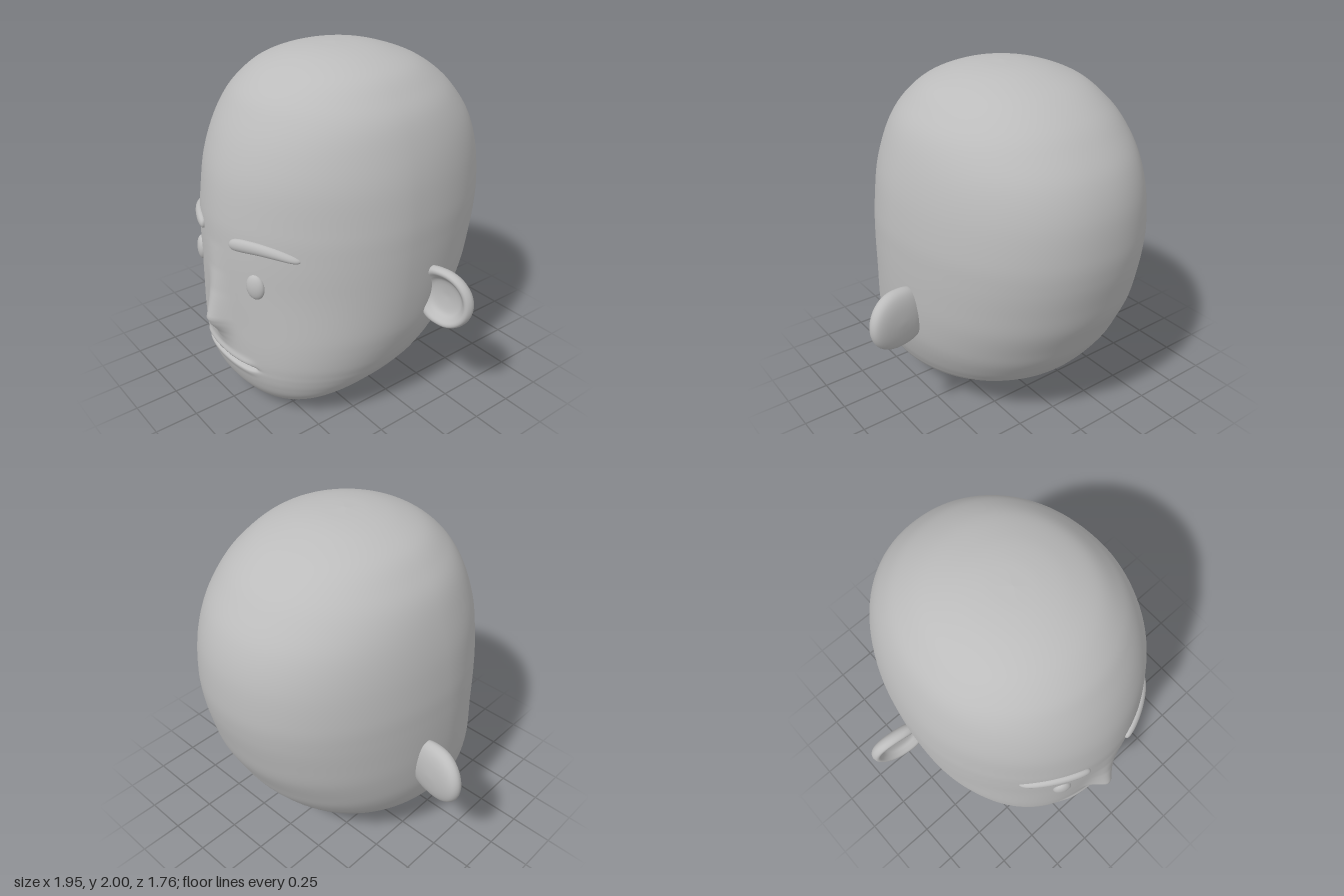
import * as THREE from 'three';
import { mergeVertices } from 'three/addons/utils/BufferGeometryUtils.js';

// Horizontal head sections: height, front z, back z, half width, z of widest point
const ROWS = [
  [0, 0.45, 0.45, 0, 0.45], [0.006, 0.54, 0.37, 0.09, 0.45], [0.02, 0.58, 0.3, 0.17, 0.44],
  [0.05, 0.63, 0.19, 0.29, 0.41], [0.1, 0.68, 0.02, 0.41, 0.36], [0.17, 0.73, -0.19, 0.505, 0.3],
  [0.24, 0.76, -0.42, 0.57, 0.22], [0.3, 0.775, -0.52, 0.61, 0.17], [0.34, 0.78, -0.56, 0.63, 0.15],
  [0.4, 0.785, -0.61, 0.655, 0.13], [0.5, 0.79, -0.68, 0.685, 0.1], [0.6, 0.793, -0.73, 0.705, 0.08],
  [0.75, 0.8, -0.8, 0.718, 0.06], [0.9, 0.803, -0.84, 0.724, 0.05], [1.05, 0.8, -0.87, 0.725, 0.04],
  [1.2, 0.79, -0.88, 0.72, 0.03], [1.4, 0.755, -0.86, 0.695, 0.02], [1.57, 0.695, -0.8, 0.652, 0],
  [1.71, 0.62, -0.7, 0.595, 0], [1.81, 0.545, -0.6, 0.52, 0], [1.9, 0.43, -0.46, 0.42, 0],
  [1.96, 0.29, -0.3, 0.28, 0], [1.99, 0.15, -0.16, 0.14, 0], [2, 0, 0, 0, 0],
];
const spline = (f) => new THREE.CatmullRomCurve3(ROWS.map(f), false, 'catmullrom', 0.5);
const depthCurve = spline(([y, zf, zb]) => new THREE.Vector3(zf, y, zb));
const widthCurve = spline(([y, , , hw, zc]) => new THREE.Vector3(hw, y, zc));

function section(t) {
  const d = depthCurve.getPoint(t), w = widthCurve.getPoint(t);
  const p = THREE.MathUtils.lerp(2.2, 1.87, THREE.MathUtils.smoothstep(d.y, 0.2, 0.9))
    + 0.15 * THREE.MathUtils.smoothstep(d.y, 1.2, 1.7);
  return { y: d.y, zf: d.x, zb: d.z, hw: Math.max(w.x, 0), zc: w.z, p };
}

// Front surface z at a given x and y
function faceZ(x, y) {
  let lo = 0, hi = 1;
  for (let i = 0; i < 30; i++) {
    const mid = (lo + hi) / 2;
    if (depthCurve.getPoint(mid).y < y) lo = mid; else hi = mid;
  }
  const s = section(lo);
  return s.zc + (s.zf - s.zc) * Math.pow(Math.max(0, 1 - Math.pow(Math.abs(x) / s.hw, s.p)), 1 / s.p);
}

const bell = (v, w) => Math.exp(-((v / w) ** 2));

// Nose ridge height along y
const NOSE = [[0.4, 0], [0.45, 0.01], [0.5, 0.03], [0.56, 0.072], [0.6, 0.086], [0.68, 0.06],
  [0.77, 0.033], [0.9, 0.01], [1.05, 0]];
function noseHeight(y) {
  for (let i = 1; i < NOSE.length; i++) {
    const [y0, h0] = NOSE[i - 1], [y1, h1] = NOSE[i];
    if (y >= y0 && y <= y1) return THREE.MathUtils.lerp(h0, h1, (y - y0) / (y1 - y0));
  }
  return 0;
}

// Nose and lips pushed out of, or into, the face
function relief(x, y) {
  const mouth = 1 / (1 + Math.exp((Math.abs(x) - 0.235) / 0.014));
  const lips = 0.012 * bell(y - 0.368, 0.022) + 0.008 * bell(y - 0.305, 0.022) - 0.045 * bell(y - 0.337, 0.011);
  return noseHeight(y) * bell(x, 0.078) + mouth * lips;
}

function headGeometry() {
  const rows = (ROWS.length - 1) * 8, cols = 160, pos = [], index = [];
  for (let i = 0; i <= rows; i++) {
    const s = section(i / rows);
    for (let j = 0; j < cols; j++) {
      const u = (j / cols) * Math.PI * 2;
      const a = u - 0.55 * Math.sin(u); // denser columns at the face
      const sin = Math.sin(a), cos = Math.cos(a), front = cos > 0;
      const e = 2 / (front ? s.p : 2.1);
      const x = s.hw * Math.sign(sin) * Math.pow(Math.abs(sin), e);
      const reach = (front ? s.zf : s.zb) - s.zc;
      const z = s.zc + reach * Math.pow(Math.abs(cos), e) + (front ? relief(x, s.y) : 0);
      pos.push(x, s.y, z);
      if (i < rows) {
        const k = (j + 1) % cols, p = i * cols, q = p + cols;
        index.push(p + j, p + k, q + k, p + j, q + k, q + j);
      }
    }
  }
  const g = new THREE.BufferGeometry();
  g.setAttribute('position', new THREE.Float32BufferAttribute(pos, 3));
  g.setIndex(index);
  g.computeVertexNormals();
  return g;
}

// Move every vertex by a rule, then weld and smooth
function reshape(source, rule) {
  source.deleteAttribute('uv');
  source.deleteAttribute('normal');
  const g = mergeVertices(source), p = g.attributes.position, v = new THREE.Vector3();
  for (let i = 0; i < p.count; i++) {
    rule(v.fromBufferAttribute(p, i));
    p.setXYZ(i, v.x, v.y, v.z);
  }
  g.computeVertexNormals();
  return g;
}

// Dished ear, squared off where it enters the head
function earGeometry(side) {
  const profile = new THREE.SplineCurve([[0, -0.045], [0.1, -0.04], [0.155, -0.025], [0.174, 0.005],
    [0.165, 0.035], [0.145, 0.042], [0.122, 0.026], [0.09, 0.004], [0, -0.004]]
    .map(([r, h]) => new THREE.Vector2(r, h))).getPoints(32);
  profile.forEach((q) => { q.x = Math.max(q.x, 0); });
  const disc = new THREE.LatheGeometry(profile, 40).rotateX(Math.PI / 2);
  return reshape(disc, (v) => {
    const inner = Math.max(0, -v.x * side) / 0.175;
    v.y *= 1 + 0.4 * inner * inner;
    v.z += 0.6 * v.y * v.y; // top and bottom curl forward
  });
}

// Tapered brow lying on the forehead
function browGeometry(side) {
  const line = new THREE.SplineCurve([[0.135, 1.092], [0.22, 1.103], [0.31, 1.105], [0.4, 1.092], [0.48, 1.066]]
    .map(([x, y]) => new THREE.Vector2(x, y)));
  const ball = new THREE.SphereGeometry(1, 20, 40).rotateZ(-Math.PI / 2);
  return reshape(ball, (v) => {
    const s = THREE.MathUtils.clamp(v.x * side, -1, 1), t = (s + 1) / 2;
    const c = line.getPoint(t);
    const k = Math.sqrt(Math.max(0, 1 - s ** 6) / Math.max(1e-6, 1 - s * s));
    const ry = THREE.MathUtils.lerp(0.038, 0.018, t * t);
    v.set(c.x * side, c.y + v.y * k * ry, faceZ(c.x, c.y) + v.z * k * 0.028);
  });
}

export function createModel() {
  const model = new THREE.Group();
  model.name = 'head model';
  const clay = new THREE.MeshStandardMaterial({ color: 0xbcbcbc });
  clay.name = 'clay grey';
  const add = (name, geometry) => {
    const mesh = new THREE.Mesh(geometry, clay);
    mesh.name = name;
    model.add(mesh);
    return mesh;
  };

  add('head', headGeometry());
  for (const side of [1, -1]) {
    const label = side > 0 ? 'left' : 'right';

    const ear = add(label + 'Ear', earGeometry(side));
    ear.position.set(0.802 * side, 0.748, -0.145);
    ear.rotation.y = 0.13 * side;

    add(label + 'Eyebrow', browGeometry(side));

    const eye = add(label + 'Eye', new THREE.SphereGeometry(1, 28, 20));
    eye.scale.set(0.055, 0.072, 0.03);
    eye.position.set(0.278 * side, 0.88, faceZ(0.278, 0.88) - 0.003);
    eye.rotation.y = 0.42 * side;
  }
  return model;
}
